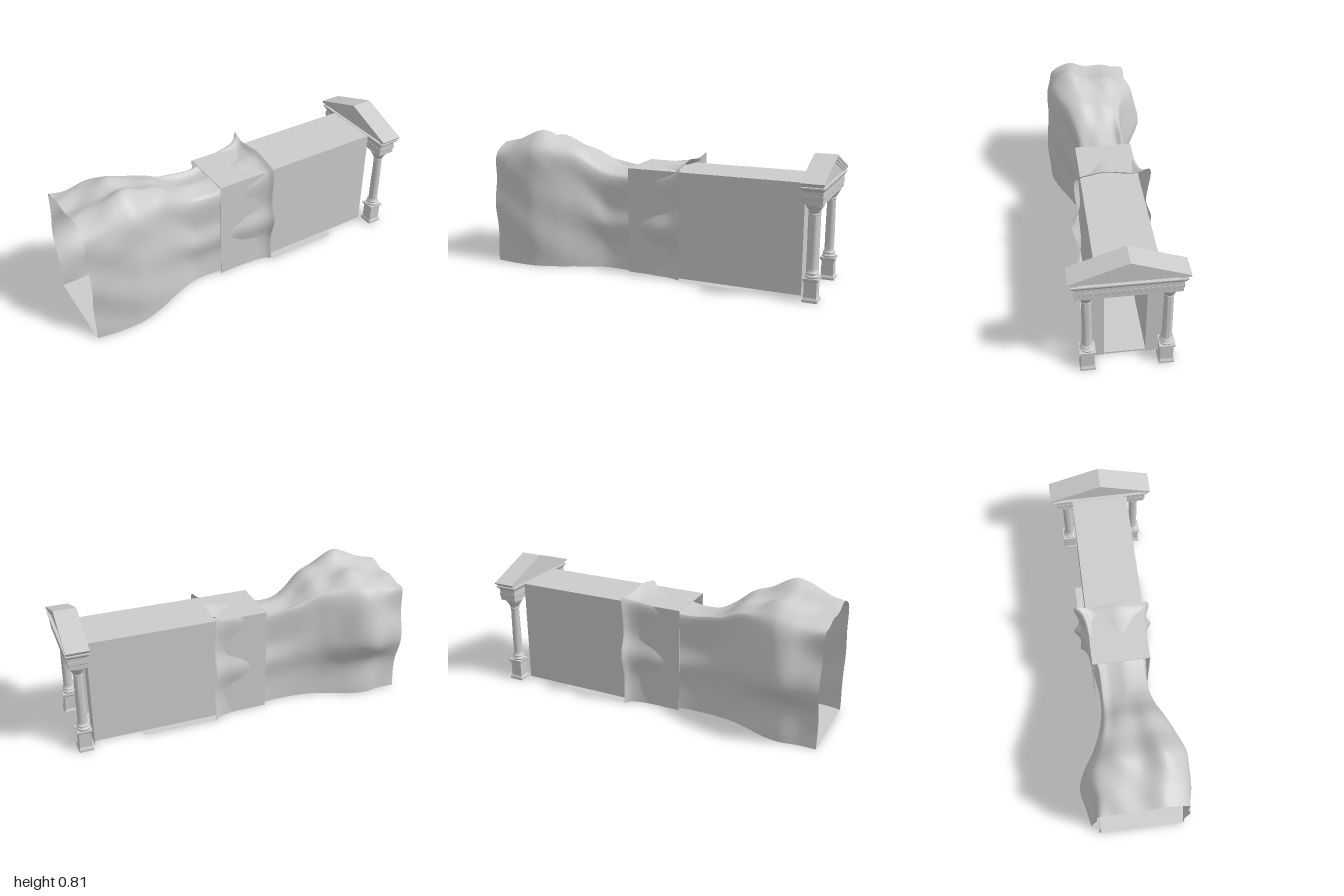
import * as THREE from 'three';
import { toCreasedNormals } from 'three/addons/utils/BufferGeometryUtils.js';

const stone = new THREE.MeshStandardMaterial({ color: 0xcccccc });
const thin = new THREE.MeshStandardMaterial({ color: 0xcccccc, side: THREE.DoubleSide });
const CX = 0.9375, CZ = 0.01; // centre of the portal

function add(parent, name, geometry, material = stone) {
  const mesh = new THREE.Mesh(geometry, material);
  mesh.name = name;
  parent.add(mesh);
  return mesh;
}

// Box given by its limits
function block(x0, x1, y0, y1, z0, z1) {
  return new THREE.BoxGeometry(x1 - x0, y1 - y0, z1 - z0)
    .translate((x0 + x1) / 2, (y0 + y1) / 2, (z0 + z1) / 2);
}

// Rectangular block with different half sizes at the bottom and the top
function taper(y0, y1, hx0, hz0, hx1 = hx0, hz1 = hz0) {
  const g = new THREE.BoxGeometry(2, y1 - y0, 2).translate(0, (y0 + y1) / 2, 0);
  const p = g.attributes.position;
  for (let i = 0; i < p.count; i++) {
    const top = p.getY(i) > (y0 + y1) / 2;
    p.setX(i, p.getX(i) * (top ? hx1 : hx0));
    p.setZ(i, p.getZ(i) * (top ? hz1 : hz0));
  }
  const flat = g.toNonIndexed();
  flat.computeVertexNormals();
  return flat;
}

// Outline in z and y extruded along x
function gable(outline, halfDepth) {
  const shape = new THREE.Shape(outline.map(([z, y]) => new THREE.Vector2(z, y)));
  return new THREE.ExtrudeGeometry(shape, { depth: halfDepth * 2, bevelEnabled: false })
    .translate(0, 0, -halfDepth).rotateY(Math.PI / 2);
}

// Cross-sections from the +z foot over the top to the -z foot: [width, height] factors
const CAVE = [[0.96, 0], [1, 0.36], [0.95, 0.62], [0.95, 0.83], [0.82, 0.92], [0.48, 1], [0.1, 0.93],
  [-0.29, 0.93], [-0.5, 0.905], [-0.72, 0.85], [-0.87, 0.73], [-1, 0.46], [-0.75, 0.25], [-0.8, 0]];
const NECK = [[0.9, 0], [0.86, 0.24], [1, 0.45], [0.86, 0.62], [0.86, 0.94], [0.5, 0.98], [0.1, 1],
  [-0.3, 0.98], [-0.65, 0.97], [-0.92, 1], [-0.86, 0.66], [-1, 0.48], [-0.87, 0.26], [-0.9, 0]];
// x, -z reach, +z reach, height, blend from cave to neck
const STATIONS = [
  [-1, 0.275, 0.283, 0.72, 0.5], [-0.9, 0.287, 0.292, 0.747, 0.15], [-0.8, 0.305, 0.297, 0.782, 0],
  [-0.72, 0.285, 0.295, 0.8, 0], [-0.6, 0.22, 0.26, 0.75, 0.2], [-0.5, 0.175, 0.212, 0.72, 0.4],
  [-0.4, 0.15, 0.17, 0.642, 0.7], [-0.32, 0.137, 0.15, 0.6, 1], [-0.2, 0.137, 0.152, 0.588, 1],
  [-0.1, 0.153, 0.165, 0.6, 1], [0, 0.172, 0.183, 0.62, 1], [0.1, 0.187, 0.192, 0.635, 1],
  [0.145, 0.208, 0.206, 0.65, 1], [0.17, 0.24, 0.225, 0.672, 1]];

function rockGrid(rows, cols) {
  const sections = STATIONS.map(([x, back, front, height, blend]) => {
    const pts = CAVE.map(([s, t], i) => {
      const w = THREE.MathUtils.lerp(s, NECK[i][0], blend);
      const h = THREE.MathUtils.lerp(t, NECK[i][1], blend);
      return new THREE.Vector3(x, h * height, w * (w > 0 ? front : back));
    });
    const curve = new THREE.CatmullRomCurve3(pts);
    return Array.from({ length: cols + 1 }, (_, j) => curve.getPoint(j / cols));
  });
  const columns = Array.from({ length: cols + 1 }, (_, j) =>
    new THREE.CatmullRomCurve3(sections.map((s) => s[j])));
  return Array.from({ length: rows + 1 }, (_, i) => columns.map((c, j) => {
    const p = c.getPoint(i / rows);
    // Gentle folds that fade out toward the corridor
    const fade = THREE.MathUtils.clamp((-0.2 - p.x) * 3, 0, 1);
    p.z += 0.004 * fade * Math.sin(p.x * 12 + p.y * 22);
    const lift = 0.005 * fade * Math.sin(p.x * 21 + p.z * 30) * Math.min(1, p.y * 3);
    p.y = j === 0 || j === cols ? 0 : Math.max(0, p.y + lift);
    return p;
  }));
}

function rockGeometry(grid) {
  const n = grid[0].length, index = [];
  for (let i = 0; i < grid.length - 1; i++) {
    for (let j = 0; j < n - 1; j++) {
      const a = i * n + j, b = a + n;
      index.push(a, b, a + 1, b, b + 1, a + 1);
    }
  }
  const g = new THREE.BufferGeometry().setFromPoints(grid.flat());
  g.setIndex(index);
  g.computeVertexNormals();
  return g;
}

function createColumn(name, z) {
  const column = new THREE.Group();
  column.name = name;
  column.position.set(0.935, 0, z);
  // Square pedestal
  [[0, 0.012, 0.041], [0.012, 0.026, 0.041, 0.034], [0.026, 0.113, 0.034],
    [0.113, 0.12, 0.036, 0.041], [0.12, 0.131, 0.042]].forEach(([y0, y1, a, b = a]) =>
    add(column, 'pedestal', taper(y0, y1, a, a, b, b)));
  // Turned base, shaft and capital
  const profile = [[0, 0.131], [0.036, 0.131], [0.039, 0.136], [0.039, 0.141], [0.035, 0.145], [0.031, 0.148],
    [0.031, 0.151], [0.035, 0.153], [0.035, 0.159], [0.031, 0.163], [0.028, 0.167], [0.0265, 0.18], [0.0265, 0.28],
    [0.024, 0.466], [0.027, 0.469], [0.027, 0.474], [0.025, 0.477], [0.028, 0.485], [0.035, 0.498],
    [0.045, 0.514], [0.049, 0.521], [0.051, 0.526], [0.051, 0.533], [0, 0.533]]
    .map(([r, y]) => new THREE.Vector2(r, y));
  add(column, 'shaft', toCreasedNormals(new THREE.LatheGeometry(profile, 32), 0.6));
  return column;
}

function createPortal() {
  const portal = new THREE.Group();
  portal.name = 'portal';
  const top = new THREE.Group();
  top.name = 'pediment';
  top.position.set(CX, 0, CZ);
  portal.add(createColumn('leftColumn', 0.215), createColumn('rightColumn', -0.197), top);
  // Stepped entablature
  [[0.532, 0.556, 0.05, 0.265], [0.556, 0.56, 0.05, 0.265, 0.053, 0.269], [0.56, 0.578, 0.053, 0.269],
    [0.578, 0.598, 0.051, 0.267], [0.598, 0.604, 0.051, 0.267, 0.055, 0.272],
    [0.604, 0.616, 0.055, 0.272, 0.061, 0.283], [0.616, 0.622, 0.0615, 0.285]].forEach(([y0, y1, a, b, c, d]) =>
    add(top, 'entablature', taper(y0, y1, a, b, c, d)));
  // Recessed gable wall and three raking mouldings
  add(top, 'gableWall', gable([[-0.285, 0.62], [0.285, 0.62], [0, 0.724]], 0.045));
  [[0.715, 0.728, 0.272, 0.051], [0.728, 0.742, 0.287, 0.057], [0.742, 0.755, 0.298, 0.0625]]
    .forEach(([low, high, reach, depth]) => {
      const slope = 0.365, inner = reach - 0.006;
      add(top, 'rakingMoulding', gable([[-reach, high - slope * reach], [-inner, low - slope * inner], [0, low],
        [inner, low - slope * inner], [reach, high - slope * reach], [0, high]], depth));
    });
  return portal;
}

export function createModel() {
  const model = new THREE.Group();
  model.name = 'caveGate';

  // Hollow rock cave, open at both ends
  const grid = rockGrid(110, 72);
  add(model, 'rockCave', rockGeometry(grid), thin);

  // Cave floor, running on under the corridor
  const last = grid[0].length - 1;
  const outline = [...grid.map((r) => r[0]), { x: 0.18, z: 0.212 }, { x: 0.612, z: 0.212 },
    { x: 0.597, z: -0.205 }, { x: 0.18, z: -0.205 },
    ...grid.map((r) => r[last]).reverse()].map((p) => new THREE.Vector2(p.x, -p.z));
  add(model, 'caveFloor', new THREE.ShapeGeometry(new THREE.Shape(outline)).rotateX(-Math.PI / 2), thin);

  // Straight corridor: a thin outer shell around the passage lining
  const corridor = new THREE.Group();
  corridor.name = 'corridor';
  model.add(corridor);
  add(corridor, 'leftWall', block(-0.16, 0.878, 0.002, 0.62, 0.161, 0.165));
  add(corridor, 'rightWall', block(-0.16, 0.878, 0.002, 0.62, -0.16, -0.156));
  add(corridor, 'roof', block(-0.16, 0.878, 0.616, 0.62, -0.16, 0.165));
  add(corridor, 'leftLining', block(0.2, 0.878, 0.002, 0.56, 0.12, 0.124));
  add(corridor, 'rightLining', block(0.2, 0.878, 0.002, 0.56, -0.104, -0.1));
  add(corridor, 'ceiling', block(0.2, 0.878, 0.556, 0.56, -0.1, 0.12));
  add(corridor, 'paving', block(0.2, 0.878, 0.002, 0.012, -0.156, 0.161));
  // Jamb faces behind the columns
  [['leftJamb', 0.12, 0.21], ['rightJamb', -0.2, -0.1]].forEach(([name, z0, z1]) =>
    add(corridor, name, new THREE.PlaneGeometry(z1 - z0, 0.54).rotateY(Math.PI / 2)
      .translate(0.88, 0.27, (z0 + z1) / 2)));

  model.add(createPortal());
  return model;
}
